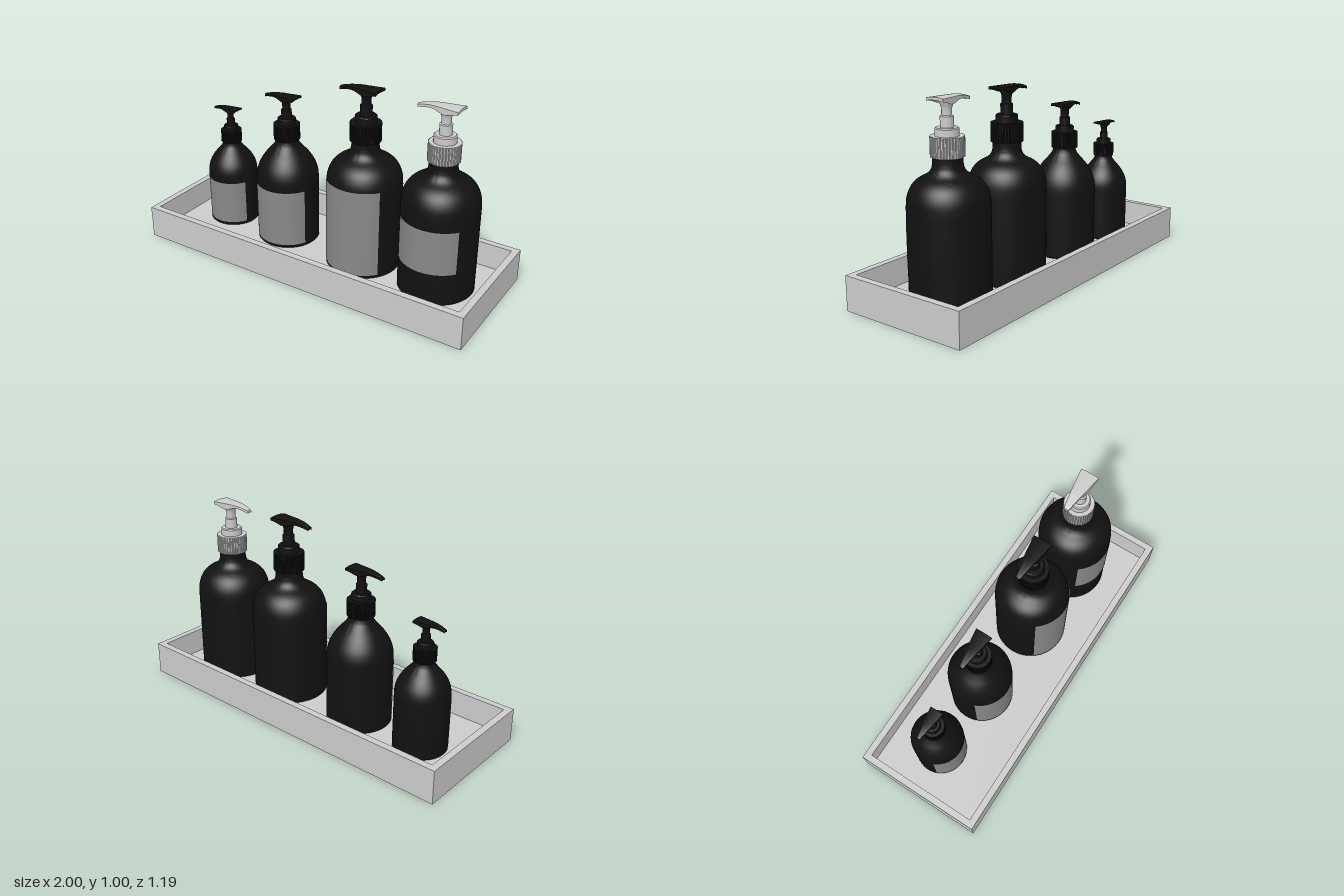
import * as THREE from 'three';
import { toCreasedNormals } from 'three/addons/utils/BufferGeometryUtils.js';

const FLOOR = 0.04, TURN = -0.289;
const grey = new THREE.MeshStandardMaterial({ color: 0xcccccc });
const black = new THREE.MeshStandardMaterial({ color: 0x111111 });
const paper = new THREE.MeshStandardMaterial({ color: 0x888888, side: THREE.DoubleSide });

function part(name, geometry, material) {
  const mesh = new THREE.Mesh(geometry, material);
  mesh.name = name;
  return mesh;
}

const vectors = (points) => points.map(([r, y]) => new THREE.Vector2(r, y));

function lathe(points, segments = 48) {
  return toCreasedNormals(new THREE.LatheGeometry(vectors(points), segments), 0.6);
}

// Straight wall, then a smooth shoulder curve up to the neck
function bodyGeometry(radius, shoulder) {
  const curve = new THREE.SplineCurve(vectors(shoulder)).getPoints(24).map((p) => [p.x, p.y]);
  return lathe([[0, 0], [radius - 0.006, 0], [radius, 0.006], ...curve, [0, shoulder.at(-1)[1]]], 64);
}

// Ribbed screw cap: a gear outline pushed upward
function capGeometry(radius, height, ribs = 36) {
  const outline = [];
  for (let i = 0; i < ribs; i++) {
    [[0, 0.955], [0.2, 1], [0.7, 1], [0.9, 0.955]].forEach(([t, k]) => {
      const a = ((i + t) / ribs) * Math.PI * 2;
      outline.push(new THREE.Vector2(Math.cos(a) * radius * k, Math.sin(a) * radius * k));
    });
  }
  const g = new THREE.ExtrudeGeometry(new THREE.Shape(outline), { depth: height, bevelEnabled: false });
  return g.rotateX(-Math.PI / 2);
}

// Press head: a bar tapering and drooping toward the spout
function headGeometry() {
  const g = new THREE.BoxGeometry(1, 1, 1, 20, 1, 6);
  const p = g.attributes.position;
  for (let i = 0; i < p.count; i++) {
    const t = p.getX(i) + 0.5;
    const side = p.getZ(i) * 2;
    const x = -0.145 + 0.22 * t;
    const half = 0.012 + 0.037 * Math.pow(t, 0.9);
    const droop = 0.018 * Math.pow(Math.max(0, 1 - t / 0.5), 2);
    const thick = 0.013 + 0.019 * Math.exp(-Math.pow((t - 0.66) / 0.2, 2));
    const top = 0.273 - droop - 0.005 * side * side;
    p.setXYZ(i, x, p.getY(i) > 0 ? top : top - thick, side * half);
  }
  g.computeVertexNormals();
  return toCreasedNormals(g, 0.6);
}

function createPump(material) {
  const pump = new THREE.Group();
  pump.name = 'pump';
  pump.add(part('ribbedCap', capGeometry(0.079, 0.094), material));
  pump.add(part('stem', lathe([
    [0, 0.09], [0.055, 0.09], [0.055, 0.127], [0.05, 0.132], [0.031, 0.132], [0.031, 0.182],
    [0.024, 0.186], [0.024, 0.215], [0.028, 0.232], [0.036, 0.245], [0.036, 0.252], [0, 0.252],
  ], 32), material));
  pump.add(part('pressHead', headGeometry(), material));
  return pump;
}

// Curved label centred on the bottle's front
function labelGeometry(radius, bottom, top, half) {
  const g = new THREE.CylinderGeometry(radius, radius, top - bottom, 32, 1, true, -half, half * 2);
  return g.translate(0, (top + bottom) / 2, 0);
}

const TALL = {
  radius: 0.193, capBase: 0.685, pumpScale: 1,
  shoulder: [[0.193, 0.45], [0.188, 0.505], [0.168, 0.552], [0.137, 0.583], [0.098, 0.604],
    [0.077, 0.627], [0.07, 0.655], [0.07, 0.69]],
};
const SHORT = {
  radius: 0.166, capBase: 0.575, pumpScale: 0.88,
  shoulder: [[0.166, 0.345], [0.163, 0.39], [0.149, 0.435], [0.12, 0.483], [0.087, 0.521],
    [0.064, 0.552], [0.058, 0.58]],
};

function createBottle(name, type, { x, z, scale = 1, label, pumpMaterial = black }) {
  const bottle = new THREE.Group();
  bottle.name = name;
  bottle.add(part('body', bodyGeometry(type.radius, type.shoulder), black));
  bottle.add(part('label', labelGeometry(type.radius + 0.0015, ...label), paper));
  const pump = createPump(pumpMaterial);
  pump.scale.setScalar(type.pumpScale);
  pump.position.y = type.capBase;
  bottle.add(pump);
  bottle.scale.setScalar(scale);
  bottle.position.set(x, FLOOR, z);
  bottle.rotation.y = TURN;
  return bottle;
}

// Open tray: a floor slab with a rectangular rim
function createTray(width, depth, height, wall) {
  const rectangle = (Type, w, d) => new Type(vectors([
    [-w / 2, -d / 2], [w / 2, -d / 2], [w / 2, d / 2], [-w / 2, d / 2],
  ]));
  const rim = rectangle(THREE.Shape, width, depth);
  rim.holes.push(rectangle(THREE.Path, width - wall * 2, depth - wall * 2));
  const tray = new THREE.Group();
  tray.name = 'tray';
  const rimGeometry = new THREE.ExtrudeGeometry(rim, { depth: height, bevelEnabled: false });
  tray.add(part('rim', rimGeometry.rotateX(-Math.PI / 2), grey));
  const floor = new THREE.BoxGeometry(width - wall * 2, FLOOR, depth - wall * 2);
  tray.add(part('trayFloor', floor.translate(0, FLOOR / 2, 0), grey));
  tray.rotation.y = TURN;
  return tray;
}

export function createModel() {
  const model = new THREE.Group();
  model.name = 'pumpBottleTray';
  model.add(createTray(1.878, 0.686, 0.175, 0.035));
  // Label values: bottom, top, half angle
  model.add(createBottle('smallBottle', SHORT,
    { x: -0.62, z: -0.23, scale: 0.81, label: [0.025, 0.322, 1.16] }));
  model.add(createBottle('mediumBottle', SHORT,
    { x: -0.254, z: -0.112, label: [0.02, 0.33, 1.16] }));
  model.add(createBottle('largeBottle', TALL,
    { x: 0.205, z: 0.035, label: [0.02, 0.485, 0.92] }));
  model.add(createBottle('paleTopBottle', TALL,
    { x: 0.61, z: 0.158, label: [0.174, 0.402, 0.92], pumpMaterial: grey }));
  return model;
}
